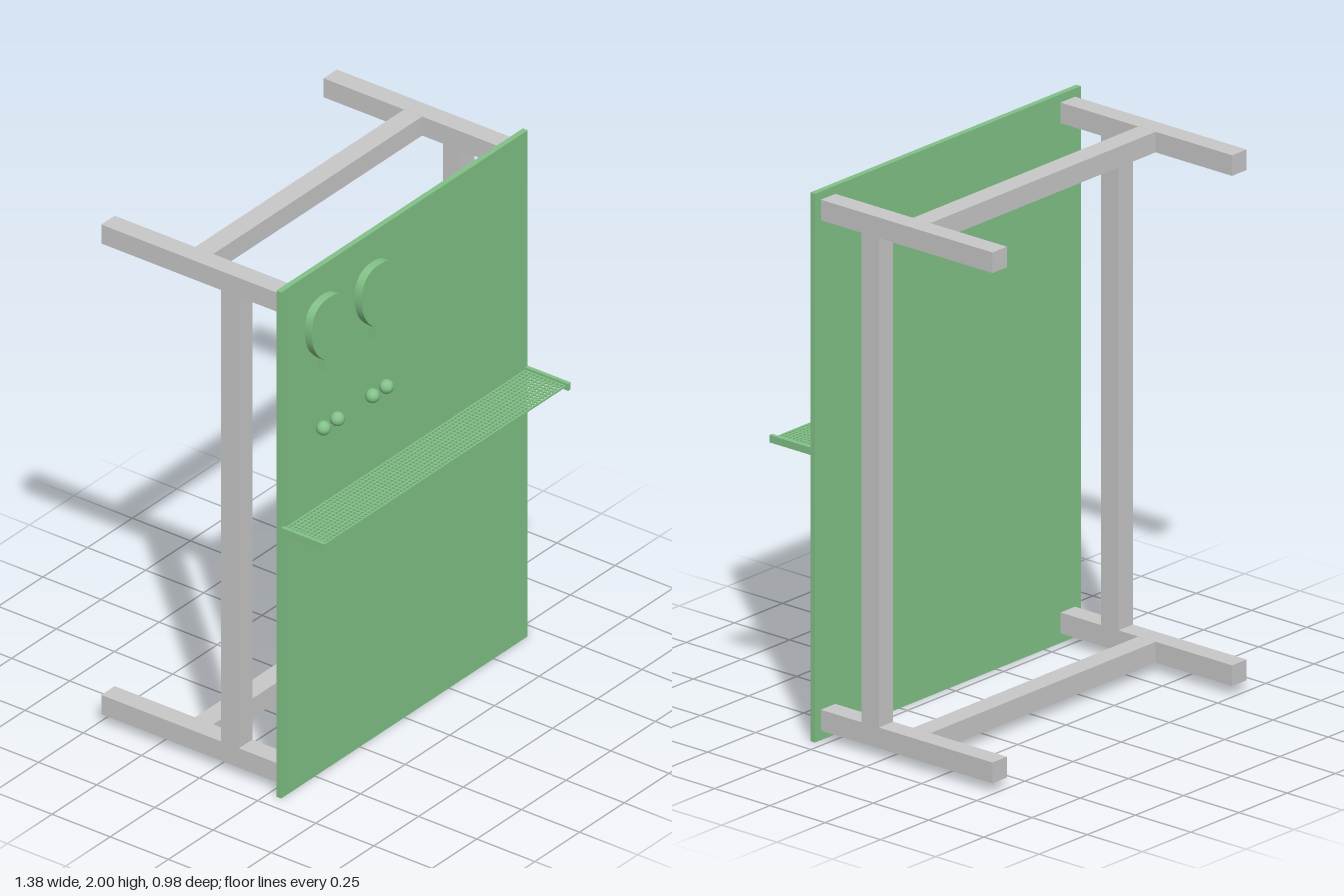
import * as THREE from 'three';
import { mergeGeometries } from 'three/addons/utils/BufferGeometryUtils.js';

const green = new THREE.MeshStandardMaterial({ color: 0x82c287 });
green.name = 'table green';
const grey = new THREE.MeshStandardMaterial({ color: 0xc8c8c8 });
grey.name = 'frame grey';

// Box geometry given by its extents on each axis
function span(x0, x1, y0, y1, z0, z1) {
  return new THREE.BoxGeometry(x1 - x0, y1 - y0, z1 - z0)
    .translate((x0 + x1) / 2, (y0 + y1) / 2, (z0 + z1) / 2);
}

// Outline of a paddle: rounded blade and slightly flared handle
function paddleShape() {
  const s = new THREE.Shape();
  s.moveTo(-0.028, 1.49);
  s.lineTo(0.028, 1.49);
  s.lineTo(0.022, 1.6);
  s.lineTo(0.022, 1.645);
  s.bezierCurveTo(0.045, 1.665, 0.098, 1.70, 0.098, 1.785);
  s.bezierCurveTo(0.098, 1.86, 0.06, 1.885, 0, 1.885);
  s.bezierCurveTo(-0.06, 1.885, -0.098, 1.86, -0.098, 1.785);
  s.bezierCurveTo(-0.098, 1.70, -0.045, 1.665, -0.022, 1.645);
  s.lineTo(-0.022, 1.6);
  s.closePath();
  return s;
}

export function createModel() {
  const model = new THREE.Group();
  model.name = 'foldedTable';
  const add = (name, geometry, material) => {
    const mesh = new THREE.Mesh(geometry, material);
    mesh.name = name;
    model.add(mesh);
    return mesh;
  };

  // Upright table top
  add('tableTop', span(-0.69, 0.69, 0, 2, 0.284, 0.305), green);

  // Frame: legs and crossbar at each end, joined by long side rails
  for (const [end, y0, y1] of [['lower', 0.035, 0.111], ['upper', 1.895, 1.97]]) {
    add(end + 'Crossbar', span(-0.584, 0.584, y0, y1, -0.146, -0.068), grey);
    for (const side of [-1, 1]) {
      const leg = span(-0.0375, 0.0375, y0, y1, -0.492, 0.284);
      add(end + (side > 0 ? 'LeftLeg' : 'RightLeg'), leg, grey).position.x = side * 0.622;
    }
  }
  for (const side of [-1, 1]) {
    const rail = span(-0.0375, 0.0375, 0.111, 1.895, 0.022, 0.1);
    add(side > 0 ? 'leftRail' : 'rightRail', rail, grey).position.x = side * 0.622;
    // Net posts
    const post = span(-0.0075, 0.0075, 1.043, 1.07, 0.305, 0.49);
    add(side > 0 ? 'leftNetPost' : 'rightNetPost', post, green).position.x = side * 0.6825;
  }

  // Net of crossing strands
  const strands = [], t = 0.003, y = 1.058, columns = 75, rows = 10;
  for (let i = 0; i <= columns; i++) {
    const x = -0.672 + 1.344 * i / columns;
    strands.push(span(x - t, x + t, y - t, y + t, 0.305, 0.481));
  }
  for (let j = 0; j <= rows; j++) {
    const z = 0.308 + 0.17 * j / rows;
    strands.push(span(-0.675, 0.675, y - t, y + t, z - t, z + t));
  }
  add('net', mergeGeometries(strands), green);

  // Paddles
  const paddle = new THREE.ExtrudeGeometry(paddleShape(), { depth: 0.032, bevelEnabled: false, curveSegments: 14 });
  for (const x of [-0.46, -0.18]) add('paddle', paddle, green).position.set(x, 0, 0.304);

  // Balls
  const ball = new THREE.SphereGeometry(0.026, 24, 16);
  for (const x of [-0.495, -0.417, -0.22, -0.142]) add('ball', ball, green).position.set(x, 1.386, 0.337);

  return model;
}
